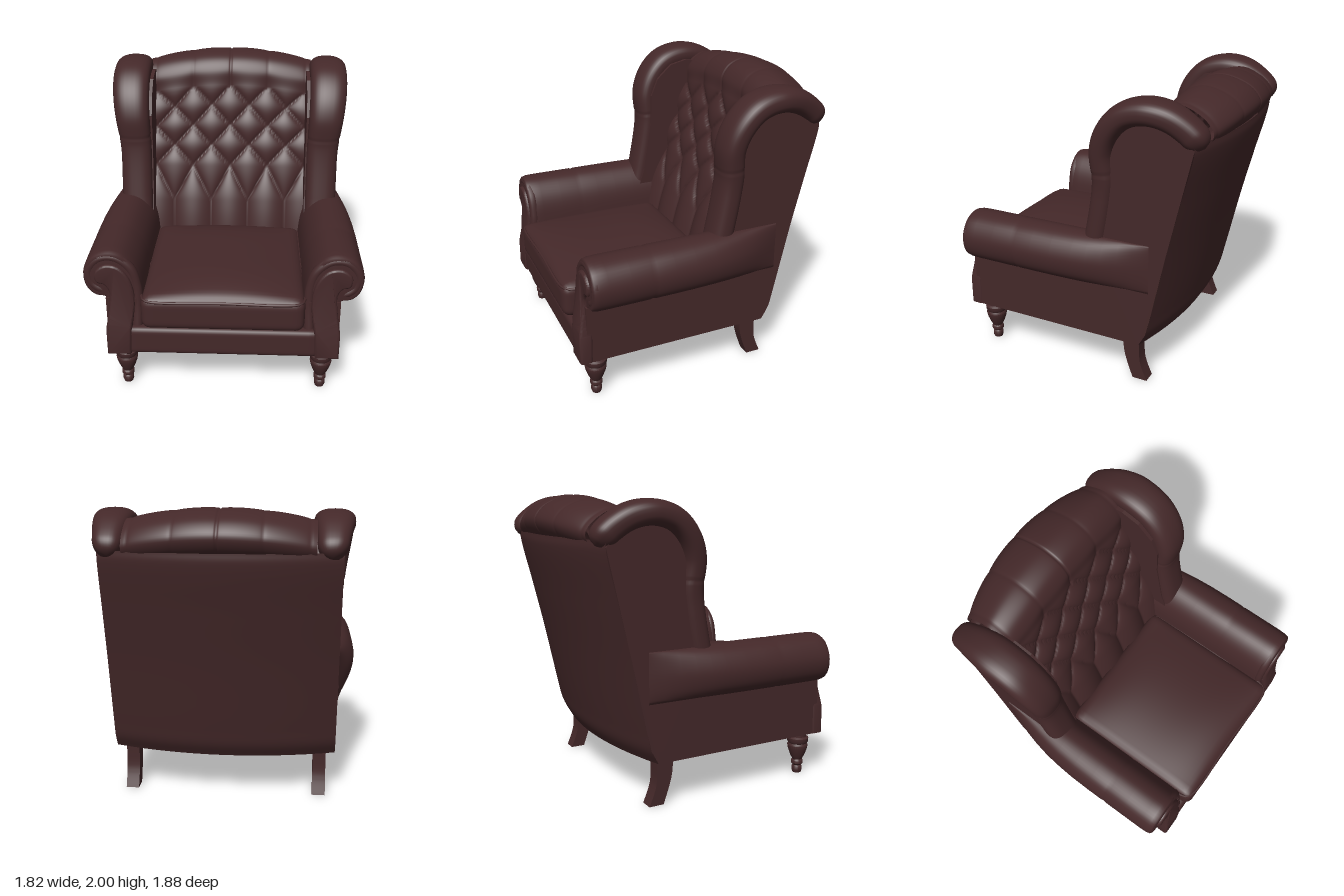
import * as THREE from 'three';
import { mergeVertices, toCreasedNormals } from 'three/addons/utils/BufferGeometryUtils.js';

const V2 = (p) => new THREE.Vector2(p[0], p[1]);
const step = THREE.MathUtils.smoothstep;
const curve = (pts, closed = false) => new THREE.CatmullRomCurve3(
  pts.map(([a, b, c = 0]) => new THREE.Vector3(a, b, c)), closed);

// Smooth surface from fn(u, v) -> [x, y, z]; outside is du x dv
function sheet(nu, nv, fn) {
  const pos = [], idx = [];
  for (let i = 0; i <= nu; i++) for (let j = 0; j <= nv; j++) pos.push(...fn(i / nu, j / nv));
  for (let i = 0; i < nu; i++) for (let j = 0; j < nv; j++) {
    const a = i * (nv + 1) + j, b = a + nv + 1;
    idx.push(a, b, b + 1, a, b + 1, a + 1);
  }
  const g = new THREE.BufferGeometry();
  g.setAttribute('position', new THREE.Float32BufferAttribute(pos, 3));
  g.setIndex(idx);
  const m = mergeVertices(g, 1e-5);
  m.computeVertexNormals();
  return m;
}

// Move every vertex by a rule, then smooth the normals
function reshape(geo, rule) {
  const p = geo.attributes.position, v = new THREE.Vector3();
  for (let i = 0; i < p.count; i++) {
    rule(v.fromBufferAttribute(p, i));
    p.setXYZ(i, v.x, v.y, v.z);
  }
  return geo;
}

// Padded box with rounded edges and a crowned top
function pad(w, h, d, r, crown) {
  const g = new THREE.BoxGeometry(w, h, d, 36, 14, 36);
  g.deleteAttribute('uv');
  g.deleteAttribute('normal');
  const m = mergeVertices(g, 1e-5);
  const half = new THREE.Vector3(w / 2 - r, h / 2 - r, d / 2 - r);
  reshape(m, (v) => {
    const core = v.clone().clamp(half.clone().negate(), half);
    const off = v.clone().sub(core);
    if (off.length() > 0) v.copy(core).addScaledVector(off.normalize(), r);
    if (v.y > 0) v.y += crown * (v.y / (h / 2)) * (1 - (2 * v.x / w) ** 2) * (1 - (2 * v.z / d) ** 4);
  });
  m.computeVertexNormals();
  return m;
}

function mirrored(geo) {
  const g = mergeVertices(geo.clone());
  g.scale(-1, 1, 1);
  g.index.array.reverse();
  return g;
}

// Tufted inner back running over the top roll: profile in (z, y)
function tuftedBack() {
  const path = curve([[-0.08, 0.55], [-0.15, 0.85], [-0.27, 1.2], [-0.38, 1.55], [-0.45, 1.78], [-0.47, 1.88],
    [-0.53, 1.96], [-0.65, 2.0], [-0.79, 1.975], [-0.89, 1.92], [-0.94, 1.84], [-0.91, 1.76], [-0.84, 1.71], [-0.7, 1.68]]);
  const nv = 150, pts = path.getSpacedPoints(nv);
  return sheet(130, nv, (u, t) => {
    const j = Math.round(t * nv), p = pts[j];
    const a = pts[Math.max(j - 1, 0)], b = pts[Math.min(j + 1, nv)];
    const len = Math.hypot(b.x - a.x, b.y - a.y);
    const x = (u * 2 - 1) * 0.6, e = (x / 0.6) ** 2;
    const roll = step(t, 0.5, 0.62);
    const row = t > 0.55 ? 2 : THREE.MathUtils.clamp(p.y < 1.2 ? (p.y - 1.2) / 0.5 : (p.y - 1.2) / 0.29, -0.5, 2);
    const col = x / 0.28;
    const puff = Math.abs(Math.sin(Math.PI * (col + row)) * Math.sin(Math.PI * (col - row)));
    const d = (1 - roll) * 0.045 * (puff ** 0.4 - 0.9) + roll * 0.012 * (puff ** 0.1 - 1);
    const z = p.x + d * (b.y - a.y) / len, y = p.y - d * (b.x - a.x) / len;
    return [x, y - 0.075 * e * step(p.y, 1.2, 2), z + 0.1 * e * step(-p.x, 0.5, 0.9)];
  });
}

// Outer back: leaning panel bowed towards the rear
function outerBack() {
  const path = curve([[-0.55, 0.31], [-0.6, 0.4], [-0.63, 0.52], [-0.735, 1.0], [-0.82, 1.35], [-0.9, 1.68], [-0.9, 1.74]]);
  return sheet(32, 40, (u, v) => {
    const p = path.getPoint(v), x = (1 - u * 2) * 0.765;
    return [x, p.y, p.x + 0.12 * (x / 0.765) ** 2];
  });
}

// Side of the seat and wing as one flat panel, outline in (z, y)
function sidePanel() {
  const outline = [[0.86, 0.31], [0.86, 0.72], [0, 0.72], [-0.1, 1.03], [-0.16, 1.4], [-0.165, 1.62], [-0.22, 1.75],
    [-0.33, 1.85], [-0.46, 1.88], [-0.6, 1.86], [-0.72, 1.78], [-0.78, 1.7], [-0.615, 1.0], [-0.51, 0.52], [-0.48, 0.4], [-0.43, 0.31]];
  const s = new THREE.Shape(outline.map(([z, y]) => V2([-z, y])));
  const g = new THREE.ExtrudeGeometry(s, { depth: 0.205, bevelEnabled: false });
  return g.rotateY(Math.PI / 2).translate(0.56, 0, 0);
}

// Thick padded edge of the wing, swept along its outline in (z, y)
function wingRoll() {
  const path = curve([[-0.08, 0.9], [-0.11, 1.03], [-0.17, 1.4], [-0.165, 1.62], [-0.22, 1.76], [-0.32, 1.86],
    [-0.46, 1.9], [-0.6, 1.88], [-0.72, 1.81], [-0.82, 1.71]]);
  const round = (c) => Math.sign(c) * Math.abs(c) ** 0.8;
  return sheet(130, 32, (t, v) => {
    const p = path.getPointAt(t), d = path.getTangentAt(t), a = v * Math.PI * 2;
    let s = t > 0.94 ? Math.sqrt(Math.max(0, 1 - ((t - 0.94) / 0.06) ** 2)) : 1;
    if (Math.abs(p.y - 1.47) < 0.01) s *= 0.975;
    const top = step(p.y, 1.3, 1.9), rear = step(-p.x, 0.45, 0.85);
    const w = (0.112 + 0.02 * top - 0.04 * rear) * s, r = 0.083 * s;
    const n = r * round(Math.sin(a));
    return [0.68 + 0.035 * top - 0.015 * rear + w * round(Math.cos(a)), p.y - n * d.x, p.x + n * d.y];
  });
}

// Rolled arm: one section carried through rings of [z, scale]
function armRoll() {
  const loop = curve([[0.54, 0.6], [0.53, 0.78], [0.57, 0.93], [0.65, 1.025], [0.74, 1.05], [0.85, 1.01], [0.91, 0.9],
    [0.895, 0.79], [0.84, 0.73], [0.765, 0.71], [0.75, 0.6]], true);
  const rings = [[-0.5, 1], [-0.4, 1], [-0.3, 1], [-0.2, 1], [-0.1, 1], [0, 1], [0.15, 1], [0.3, 1], [0.42, 1], [0.44, 0.975],
    [0.46, 1], [0.6, 1], [0.75, 1], [0.81, 0.99], [0.84, 0.95], [0.85, 0.88], [0.85, 0]];
  const n = rings.length - 1;
  return sheet(n, 56, (u, v) => {
    const [z, s] = rings[Math.round(u * n)], p = loop.getPoint(v % 1);
    const taper = Math.cos(Math.PI / 2 * Math.max(0, (0.4 - z) / 0.9) ** 1.5);
    const x = p.x > 0.77 ? 0.77 + (p.x - 0.77) * taper : p.x;
    return [0.72 + (x - 0.72) * s, 0.86 + (p.y - 0.86) * s, z];
  });
}

// Shaped facing on the arm front, swelling forward near the bottom
function armFacing() {
  const s = new THREE.Shape();
  s.moveTo(0.625, 0.325);
  s.lineTo(0.755, 0.325);
  s.lineTo(0.755, 0.5);
  s.splineThru([[0.735, 0.62], [0.725, 0.76], [0.76, 0.83], [0.81, 0.85], [0.81, 0.91], [0.75, 0.95], [0.67, 0.93],
    [0.61, 0.84], [0.59, 0.7], [0.615, 0.5]].map(V2));
  const g = new THREE.ExtrudeGeometry(s, { depth: 0.05, bevelThickness: 0.02, bevelSize: 0.015, bevelSegments: 4, curveSegments: 40 });
  reshape(g.translate(0, 0, 0.8), (v) => { v.z += 0.045 * (1 - step(v.y, 0.45, 0.78)); });
  return toCreasedNormals(g, 0.9);
}

// Flat underside following the bowed back
function underside() {
  const pts = [[-0.765, 0.86], [0.765, 0.86]];
  for (let i = 0; i <= 20; i++) {
    const x = 0.765 * (1 - i / 10);
    pts.push([x, -0.55 + 0.12 * (x / 0.765) ** 2]);
  }
  const g = new THREE.ExtrudeGeometry(new THREE.Shape(pts.map(V2)), { depth: 0.08, bevelEnabled: false });
  return g.rotateX(Math.PI / 2).translate(0, 0.39, 0);
}

function rearLeg() {
  const s = new THREE.Shape();
  s.moveTo(0.29, 0.33);
  s.splineThru([[0.295, 0.22], [0.315, 0.13], [0.36, 0]].map(V2));
  s.lineTo(0.465, 0);
  s.splineThru([[0.425, 0.1], [0.41, 0.18], [0.41, 0.33]].map(V2));
  const g = new THREE.ExtrudeGeometry(s, { depth: 0.09, bevelEnabled: false });
  return toCreasedNormals(g.rotateY(Math.PI / 2).translate(0.615, 0, 0), 0.6);
}

function frontLeg() {
  const profile = [[0, 0], [0.03, 0], [0.037, 0.02], [0.036, 0.045], [0.028, 0.055], [0.042, 0.07], [0.042, 0.09], [0.034, 0.1],
    [0.05, 0.13], [0.068, 0.18], [0.074, 0.21], [0.066, 0.225], [0.076, 0.24], [0.076, 0.265], [0.06, 0.275], [0.058, 0.33]];
  return toCreasedNormals(new THREE.LatheGeometry(profile.map(V2), 28), 0.7).translate(0.665, 0, 0.78);
}

export function createModel() {
  const model = new THREE.Group();
  model.name = 'wingArmchair';
  const leather = new THREE.MeshStandardMaterial({ color: 0x442829, side: THREE.DoubleSide });
  leather.name = 'dark brown leather';
  const add = (name, geo) => {
    const m = new THREE.Mesh(geo, leather);
    m.name = name;
    model.add(m);
  };
  const pair = (name, geo) => {
    add('left ' + name, geo);
    add('right ' + name, mirrored(geo));
  };

  // Centre parts
  add('tufted back and top roll', tuftedBack());
  add('outer back', outerBack());
  add('underside', underside());
  add('seat cushion', pad(1.07, 0.24, 1.08, 0.06, 0.07).translate(0, 0.64, 0.395));
  add('front rail', pad(1.27, 0.2, 0.2, 0.035, 0).translate(0, 0.412, 0.805));
  add('seat deck', new THREE.BoxGeometry(1.14, 0.2, 1.2).translate(0, 0.43, 0.2));
  const welt = curve([[-0.52, 0.735, -0.1], [-0.527, 0.735, 0.4], [-0.525, 0.735, 0.88], [-0.49, 0.735, 0.918], [0, 0.735, 0.923],
    [0.49, 0.735, 0.918], [0.525, 0.735, 0.88], [0.527, 0.735, 0.4], [0.52, 0.735, -0.1]]);
  add('cushion piping', new THREE.TubeGeometry(welt, 80, 0.009, 8));

  // Mirrored parts
  pair('side panel', sidePanel());
  pair('wing roll', wingRoll());
  pair('arm', armRoll());
  pair('arm facing', armFacing());
  const lip = curve([[0.565, 0.52, 0.85], [0.56, 0.65, 0.83], [0.565, 0.8, 0.82], [0.605, 0.93, 0.82], [0.7, 1.005, 0.82], [0.8, 0.995, 0.82],
    [0.868, 0.91, 0.82], [0.855, 0.82, 0.82], [0.8, 0.775, 0.82], [0.76, 0.77, 0.81]]);
  pair('arm scroll rim', new THREE.TubeGeometry(lip, 70, 0.034, 12));
  pair('front leg', frontLeg());
  pair('rear leg', rearLeg());
  return model;
}
